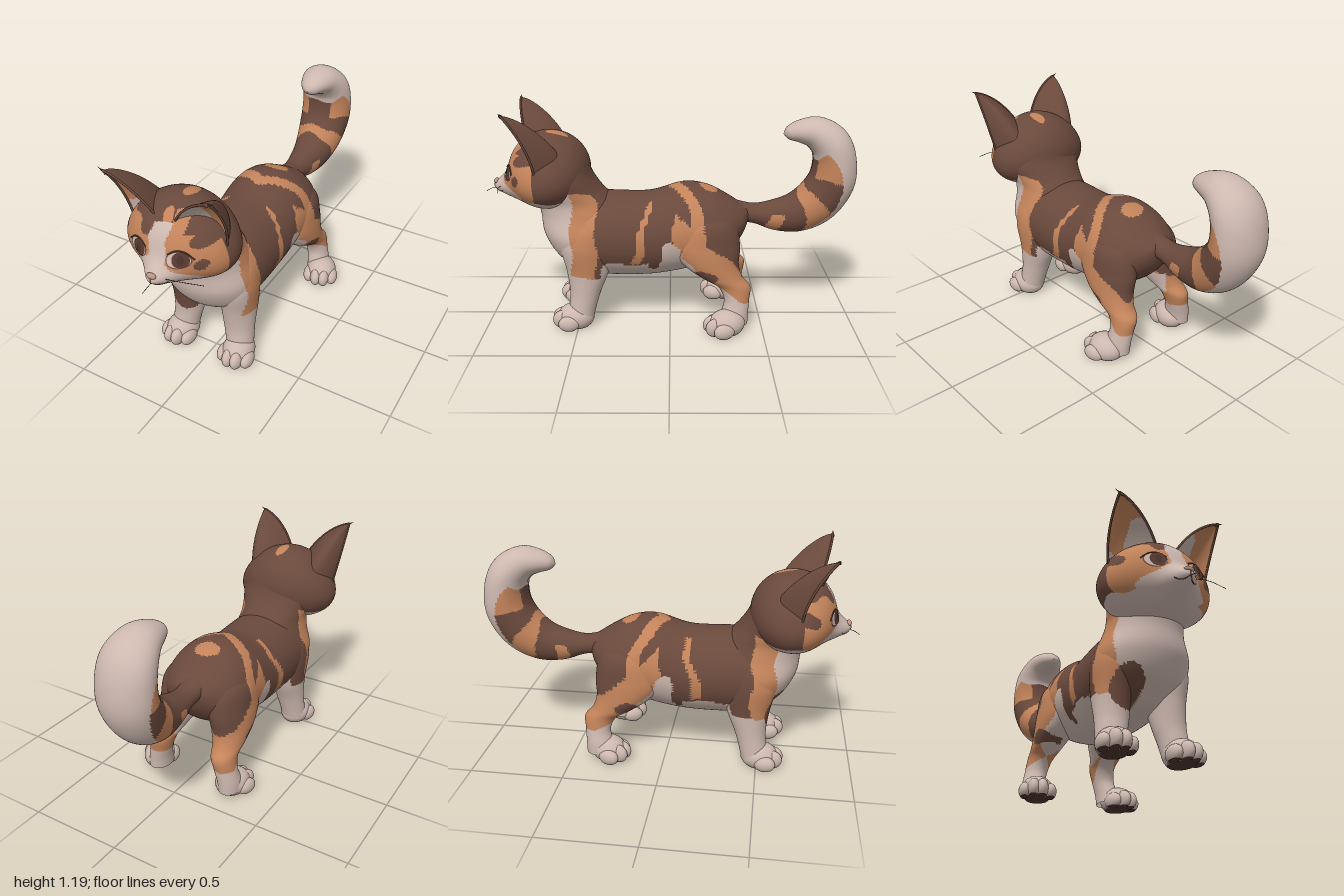
import * as THREE from 'three';
import { mergeVertices, mergeGeometries } from 'three/addons/utils/BufferGeometryUtils.js';

const COLORS = {
  coatBrown: 0x6a493c, coatOrange: 0xc3835a, coatCream: 0xcdb8af,
  padDark: 0x4a342c, nosePink: 0xbd9484, irisBrown: 0x5a3a30,
};
const MATS = Object.entries(COLORS).map(([name, color]) => {
  const m = new THREE.MeshStandardMaterial({ color, side: THREE.DoubleSide });
  m.name = name;
  return m;
});
const BROWN = 0, ORANGE = 1, CREAM = 2, PAD = 3, PINK = 4, IRIS = 5;
const H = Math.PI / 2;

// Smooth mesh whose faces are sorted into colour groups by a rule on their centres
function paint(name, geo, rule) {
  geo.deleteAttribute('uv');
  geo.deleteAttribute('normal');
  const g = mergeVertices(geo, 1e-5);
  g.clearGroups();
  g.computeVertexNormals();
  const p = g.attributes.position, idx = g.index.array, buckets = MATS.map(() => []);
  for (let i = 0; i < idx.length; i += 3) {
    const t = [idx[i], idx[i + 1], idx[i + 2]];
    const mid = (f) => (f(t[0]) + f(t[1]) + f(t[2])) / 3;
    buckets[rule(mid((k) => p.getX(k)), mid((k) => p.getY(k)), mid((k) => p.getZ(k)))].push(...t);
  }
  g.setIndex(buckets.flat());
  let start = 0;
  buckets.forEach((b, m) => { if (b.length) g.addGroup(start, b.length, m); start += b.length; });
  const mesh = new THREE.Mesh(g, MATS);
  mesh.name = name;
  return mesh;
}
function plain(name, geo, mat) {
  const mesh = new THREE.Mesh(geo, MATS[mat]);
  mesh.name = name;
  return mesh;
}

// Skin through elliptical sections [x, y, z, rx, rv, tilt of the second axis in the yz plane]
function loft(sections, around, steps) {
  const pos = [], idx = [], n = sections.length;
  const at = (i) => sections[Math.max(0, Math.min(n - 1, i))];
  const rows = (n - 1) * steps;
  for (let r = 0; r <= rows; r++) {
    const i = Math.min(Math.floor(r / steps), n - 2), t = r / steps - i;
    const [x, y, z, rx, rv, a] = at(i).map((b, k) => {
      const p = at(i - 1)[k], c = at(i + 1)[k], d = at(i + 2)[k];
      return b + 0.5 * t * (c - p + t * (2 * p - 5 * b + 4 * c - d + t * (3 * (b - c) + d - p)));
    });
    for (let j = 0; j < around; j++) {
      const q = (j / around) * Math.PI * 2, v = Math.max(rv, 0.001) * Math.sin(q);
      pos.push(x + Math.max(rx, 0.001) * Math.cos(q), y + v * Math.cos(a), z + v * Math.sin(a));
      if (r < rows) {
        const A = r * around + j, B = r * around + (j + 1) % around;
        idx.push(A, B, A + around, B, B + around, A + around);
      }
    }
  }
  const g = new THREE.BufferGeometry();
  g.setAttribute('position', new THREE.Float32BufferAttribute(pos, 3));
  g.setIndex(idx);
  return g;
}

const inside = (a, b, ca, cb, ra, rb) => ((a - ca) / ra) ** 2 + ((b - cb) / rb) ** 2 < 1;

// Patches of the coat on torso, neck and legs
function fur(x, y0, z0) {
  const y = y0 + 0.01 * Math.sin(31 * z0 + 9 * x), z = z0 + 0.01 * Math.sin(27 * y0 + 11 * x);
  const ax = Math.abs(x);
  if (y < 0.17) return CREAM;
  if (z > 0.36) {
    if (x < 0 && z > 0.42 && inside(x, y, -0.125, 0.32, 0.08, 0.1)) return BROWN;
    if (y > 0.75) return BROWN;
    if (y < 0.3 || ax < 0.12 && z > 0.5 || z > (x > 0 ? 0.52 : 0.58)) return CREAM;
    return z > (x > 0 ? 0.39 : 0.46) && ax > 0.14 ? ORANGE : BROWN;
  }
  if (ax > 0.14 && inside(y, z, 0.315, -0.2, 0.035, 0.065)) return BROWN;
  if (z > -0.05) {
    if (ax > 0.1 && inside(y, z, 0.38, 0.08, 0.06, 0.03)) return BROWN;
    if (y < 0.37 || inside(y, z, 0.4, -0.005, 0.11, 0.06)) return CREAM;
  } else if (y < 0.4 + (z + 0.07) * 0.8 || ax < 0.12 && y < 0.38) return CREAM;
  if (y > 0.6 && inside(x, z, 0, -0.2, 0.07, 0.05)) return ORANGE;
  if (y > 0.38 && ax > 0.11 && Math.abs(z - 0.12 - 0.25 * (0.65 - y)) < 0.014 + 0.05 * (0.65 - y)) return ORANGE;
  if (y > 0.5 && Math.abs(z + 0.01 + 0.6 * ax) < 0.033) return ORANGE;
  if (z < -0.02 && y < 0.54 + (z + 0.15) * 0.9 || z < -0.28 && y < 0.3) return ORANGE;
  return BROWN;
}

// Rings on the curled tail, cream on its outer side and tip
function tailFur(x, y, z) {
  let f = Math.atan2(-(z + 0.66), 0.84 - y) + 0.06 * Math.sin(40 * x);
  if (f < -1.6) f += Math.PI * 2;
  const d = Math.hypot(z + 0.66, y - 0.84);
  if (f > 2.1 || f > 0.3 && d > 0.36 - 0.08 * f) return CREAM;
  if (f > 0.25 && f < 0.7) return ORANGE;
  if (f > 1.3 && Math.abs(x + 0.02) > 0.075) return ORANGE;
  return f > -0.37 && f < -0.15 && y < 0.6 ? ORANGE : BROWN;
}

// Mask of the face, in head coordinates
function headFur(x0, y0, z) {
  const x = x0 + 0.006 * Math.sin(50 * y0), y = y0 + 0.008 * Math.sin(35 * x0 + 20 * z);
  if (y < 0.71 && z > 0.5) return CREAM;
  if (z > 0.78 && y < 0.98 && Math.abs(x - 0.005) < 0.045 + Math.max(0, 0.83 - y) * 1.4) return CREAM;
  if (y > 0.95 && (inside(x, z, 0.03, 0.6, 0.03, 0.06) || inside(x, z, 0.02, 0.78, 0.025, 0.04))) return ORANGE;
  if (z > 0.7 && x > 0.05 && x < 0.11 && y > 0.9 && y < 1.02) return ORANGE;
  if (z < 0.7 || y > 0.955) return BROWN;
  const spots = [[-0.26, 0.88, 0.035, 0.05], [0.2, 0.81, 0.028, 0.03], [0.2, 0.93, 0.05, 0.04], [-0.07, 0.95, 0.04, 0.03]];
  return spots.some((s) => inside(x, y, ...s)) ? BROWN : ORANGE;
}

// Head shape: widened cheeks and a muzzle bulge
const headWidth = (uy) => 0.285 * (1 - 0.18 * uy);
const headY = (uy) => 0.835 + uy * (uy > 0 ? 0.215 : 0.2);
const headZ = (x, y, uz) => 0.65 + 0.22 * uz + Math.min(1, Math.max(0, uz * 2)) *
  0.105 * Math.exp(-(((x - 0.02) / 0.085) ** 2) - ((y - 0.742) / 0.065) ** 2);
function onFace(x, y, lift) {
  const uy = (y - 0.835) / (y > 0.835 ? 0.215 : 0.2), ux = x / headWidth(uy);
  return new THREE.Vector3(x, y, headZ(x, y, Math.sqrt(Math.max(0, 1 - ux * ux - uy * uy))) + lift);
}
function facePlate(name, cx, cy, rx, ry, lift, mat) {
  const g = new THREE.CircleGeometry(1, 32), p = g.attributes.position;
  for (let i = 0; i < p.count; i++) {
    const v = onFace(cx + rx * p.getX(i), cy + ry * p.getY(i), lift);
    p.setXYZ(i, v.x, v.y, v.z);
  }
  g.computeVertexNormals();
  return plain(name, g, mat);
}
const tube = (name, pts, r, mat) =>
  plain(name, new THREE.TubeGeometry(new THREE.CatmullRomCurve3(pts), 20, r, 6), mat);
const V = (x, y, z) => new THREE.Vector3(x, y, z);

// Cupped ear opening forwards and sideways, with a full rounded back
function makeEar(s) {
  const ear = new THREE.Group();
  ear.name = s > 0 ? 'leftEar' : 'rightEar';
  const inner = new THREE.QuadraticBezierCurve3(V(0.05, 0.98, 0.78), V(0.14, 1.14, 0.83), V(0.277, 1.18, 0.84));
  const outer = new THREE.QuadraticBezierCurve3(V(0.262, 0.87, 0.69), V(0.292, 1.03, 0.71), V(0.277, 1.18, 0.84));
  const sheet = (depth) => {
    const g = new THREE.PlaneGeometry(1, 1, 24, 24), p = g.attributes.position;
    for (let i = 0; i < p.count; i++) {
      const u = p.getX(i) + 0.5, t = p.getY(i) + 0.5;
      const v = inner.getPoint(t).lerp(outer.getPoint(t), u);
      const back = depth * Math.pow(Math.max(0, Math.sin(Math.PI * u)), 0.8) * Math.pow(1 - t, 0.6);
      p.setXYZ(i, s * v.x, v.y, v.z - back);
    }
    return g;
  };
  ear.add(paint('earBack', sheet(0.18), () => BROWN));
  ear.add(paint('earInside', sheet(0.08), (x, y) =>
    Math.abs(x) < 0.18 && y < 1.1 || y < 0.95 ? CREAM : ORANGE));
  for (const c of [inner, outer])
    ear.add(tube('earRim', c.getPoints(10).map((v) => v.setX(s * v.x)), 0.006, BROWN));
  const tuft = plain('earTuft', new THREE.ConeGeometry(0.008, 0.05, 6), BROWN);
  tuft.position.set(s * 0.282, 1.18, 0.84);
  tuft.rotation.z = -s * 1.1;
  ear.add(tuft);
  return ear;
}

function makeHead() {
  const head = new THREE.Group();
  head.name = 'head';
  const g = new THREE.SphereGeometry(1, 128, 96), p = g.attributes.position;
  for (let i = 0; i < p.count; i++) {
    const uy = p.getY(i), x = p.getX(i) * headWidth(uy), y = headY(uy);
    p.setXYZ(i, x, y, headZ(x, y, p.getZ(i)));
  }
  head.add(paint('skull', g, headFur), makeEar(1), makeEar(-1));
  // Eyes, lashes and mouth
  for (const [s, cx] of [[1, 0.114], [-1, -0.105]]) {
    head.add(facePlate('eyeRim', cx, 0.845, 0.056, 0.045, 0.003, BROWN));
    head.add(facePlate('eyeWhite', cx, 0.843, 0.051, 0.037, 0.005, CREAM));
    head.add(facePlate('iris', cx + 0.01, 0.845, 0.038, 0.039, 0.007, IRIS));
    head.add(facePlate('pupil', cx + 0.01, 0.845, 0.015, 0.024, 0.009, PAD));
    const arc = [-0.05, -0.025, 0, 0.03, 0.065].map((d) => onFace(cx + s * d, 0.887 - 9 * d * d, 0.004));
    head.add(tube('eyelash', arc, 0.003, BROWN));
    const lip = [[0, 0.742], [0.018, 0.728], [0.04, 0.727], [0.06, 0.738]];
    head.add(tube('mouth', lip.map(([x, y]) => onFace(0.02 + s * x, y, 0)), 0.0025, BROWN));
  }
  // Nose and whiskers
  const nose = plain('nose', new THREE.SphereGeometry(1, 24, 16), PINK);
  nose.scale.set(0.026, 0.014, 0.014);
  nose.position.copy(onFace(0.02, 0.776, 0));
  head.add(nose, tube('noseLine', [0.768, 0.755, 0.742].map((y) => onFace(0.02, y, 0)), 0.0025, BROWN));
  head.add(tube('sideWhisker', [V(0.06, 0.755, 0.91), V(0.15, 0.77, 0.905), V(0.26, 0.775, 0.88)], 0.0015, PAD));
  head.add(tube('frontWhisker', [V(0.02, 0.74, 0.94), V(0.018, 0.732, 0.97), V(0.01, 0.715, 1.0)], 0.0015, PAD));
  head.position.x = -0.02;
  return head;
}

// Rounded paw with four toes and a flat dark sole
function makePaw(name, x, z, yaw) {
  const ball = (cx, cy, cz, rx, ry, rz) =>
    new THREE.SphereGeometry(1, 24, 16).scale(rx, ry, rz).translate(cx, cy, cz);
  const parts = [ball(0, 0.055, 0, 0.085, 0.075, 0.1)];
  for (const i of [-1.5, -0.5, 0.5, 1.5]) {
    const h = 0.053 - 0.004 * i * i;
    parts.push(ball(i * 0.045, h - 0.005, 0.073 - 0.016 * i * i, 0.033, h, 0.057));
  }
  const g = mergeGeometries(parts), p = g.attributes.position;
  for (let i = 0; i < p.count; i++) p.setY(i, Math.max(0.002, p.getY(i)));
  g.rotateY(yaw).translate(x, 0, z);
  return paint(name, g, (a, y) => (y < 0.009 ? PAD : CREAM));
}

export function createModel() {
  const cat = new THREE.Group();
  cat.name = 'cat';
  const body = new THREE.Group();
  body.name = 'body';
  body.position.x = -0.03;
  cat.add(body);

  // Torso from rump to shoulders: [z, bottom, top, half width]
  const torso = [[-0.43, 0.56, 0.62, 0.03], [-0.39, 0.47, 0.645, 0.12], [-0.31, 0.38, 0.695, 0.2], [-0.2, 0.32, 0.75, 0.235],
    [-0.07, 0.28, 0.765, 0.24], [0.115, 0.25, 0.715, 0.235], [0.35, 0.25, 0.715, 0.24],
    [0.48, 0.27, 0.7, 0.23], [0.56, 0.33, 0.62, 0.17], [0.61, 0.42, 0.54, 0.06], [0.62, 0.47, 0.49, 0.005]]
    .map(([z, b, t, w]) => [0, (b + t) / 2, z, w, (t - b) / 2, 0]);
  body.add(paint('torso', loft(torso, 96, 11), fur));

  // Neck and breast, top to bottom: [y, z, rx, rz]
  const neck = [[1.02, 0.61, 0.08, 0.07], [0.92, 0.61, 0.19, 0.155], [0.82, 0.59, 0.225, 0.17], [0.74, 0.555, 0.205, 0.19],
    [0.68, 0.515, 0.19, 0.21], [0.61, 0.485, 0.205, 0.22], [0.5, 0.475, 0.24, 0.215], [0.39, 0.455, 0.215, 0.175],
    [0.31, 0.42, 0.15, 0.12], [0.265, 0.4, 0.06, 0.05], [0.26, 0.4, 0.01, 0.01]]
    .map(([y, z, a, b]) => [0, y, z, a, b, H]);
  body.add(paint('neck', loft(neck, 80, 8), fur));

  // Tail: [z, y, rx, rv, tilt in half turns]
  const tail = [[-0.36, 0.6, 0.07, 0.06, 1], [-0.46, 0.585, 0.065, 0.055, 1], [-0.57, 0.575, 0.085, 0.085, 1.02],
    [-0.69, 0.59, 0.11, 0.11, 1.12], [-0.8, 0.655, 0.135, 0.125, 1.28], [-0.875, 0.77, 0.15, 0.125, 1.42],
    [-0.885, 0.89, 0.15, 0.115, 1.52], [-0.85, 0.985, 0.14, 0.105, 1.7], [-0.77, 1.04, 0.11, 0.085, 1.88],
    [-0.69, 1.045, 0.08, 0.06, 2], [-0.63, 1.035, 0.045, 0.035, 2.05], [-0.605, 1.03, 0.001, 0.001, 2.05]]
    .map(([z, y, a, b, t]) => [-0.02, y, z, a, b, t * Math.PI]);
  body.add(paint('tail', loft(tail, 64, 9), tailFur));

  // Legs, top to bottom: [y, x, z, rx, rz]
  const front = [[0.62, 0.11, 0.45, 0.03, 0.04], [0.57, 0.13, 0.45, 0.09, 0.12], [0.46, 0.15, 0.455, 0.1, 0.135], [0.32, 0.15, 0.445, 0.092, 0.115],
    [0.2, 0.155, 0.46, 0.083, 0.085], [0.12, 0.165, 0.475, 0.076, 0.075], [0.04, 0.175, 0.49, 0.072, 0.07]];
  const hind = [[0.68, 0.1, -0.17, 0.03, 0.05], [0.59, 0.13, -0.19, 0.105, 0.155], [0.46, 0.15, -0.19, 0.11, 0.185], [0.36, 0.165, -0.22, 0.1, 0.15],
    [0.29, 0.18, -0.28, 0.08, 0.11], [0.24, 0.19, -0.345, 0.066, 0.088], [0.17, 0.205, -0.36, 0.06, 0.068],
    [0.1, 0.22, -0.35, 0.06, 0.073], [0.04, 0.225, -0.34, 0.06, 0.08]];
  for (const s of [1, -1]) {
    const side = s > 0 ? 'left' : 'right';
    const leg = (rows) => loft(rows.map(([y, x, z, a, b]) => [s * x, y, z, a, b, H]), 48, 9);
    body.add(paint(side + 'FrontLeg', leg(front), fur), paint(side + 'HindLeg', leg(hind), fur));
    body.add(makePaw(side + 'FrontPaw', s > 0 ? 0.18 : -0.173, 0.515, s * 0.08));
    body.add(makePaw(side + 'HindPaw', s > 0 ? 0.265 : -0.215, -0.305, s * 0.3));
  }
  body.add(makeHead());
  return cat;
}
